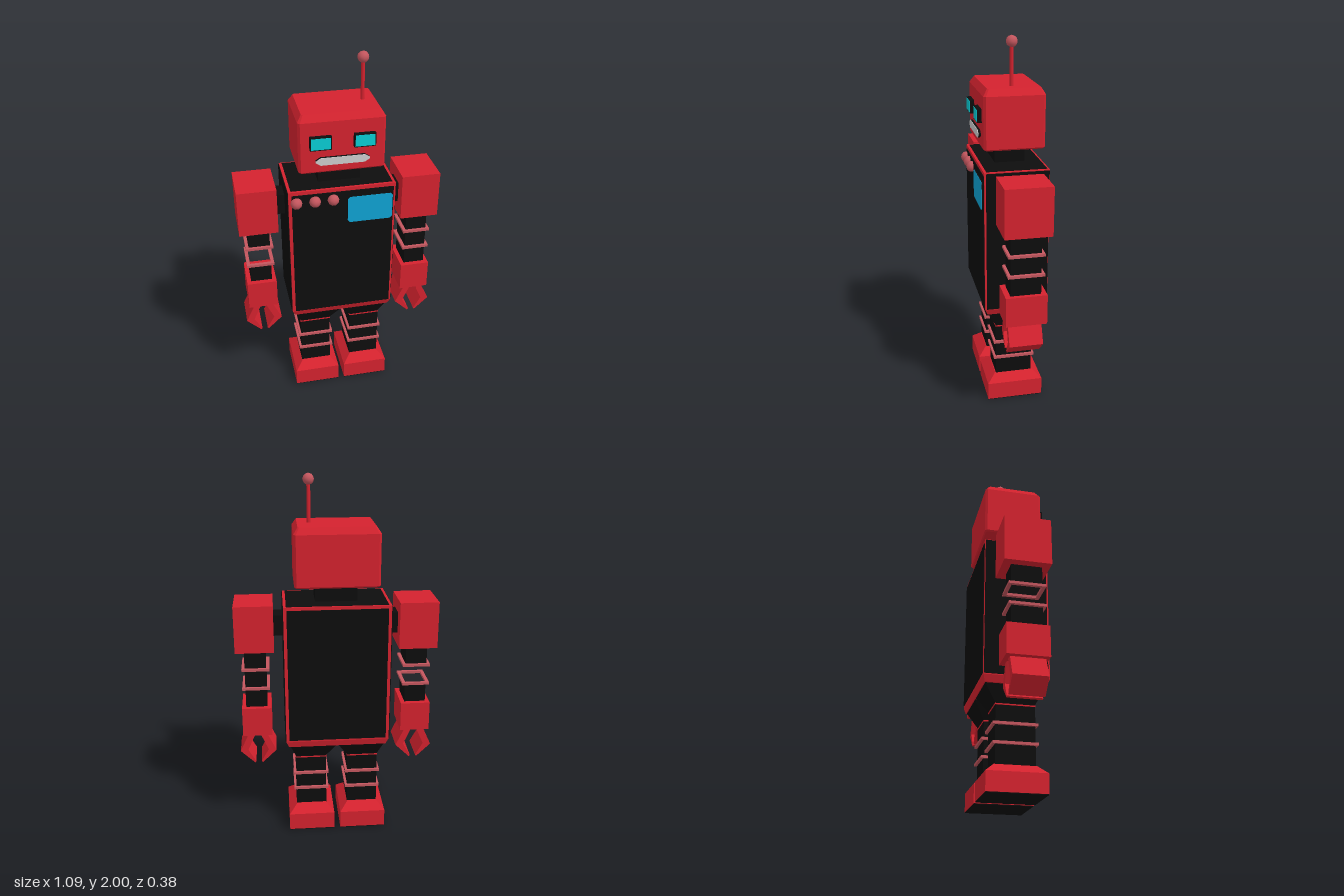
import * as THREE from 'three';

const mat = (name, color) => {
  const m = new THREE.MeshStandardMaterial({ color });
  m.name = name;
  return m;
};

// Cross-section at height y: a rectangle with corners cut by c
function section(y, x0, x1, z0, z1, c = 0) {
  const p = c
    ? [[x1 - c, z1], [x1, z1 - c], [x1, z0 + c], [x1 - c, z0], [x0 + c, z0], [x0, z0 + c], [x0, z1 - c], [x0 + c, z1]]
    : [[x1, z1], [x1, z0], [x0, z0], [x0, z1]];
  return p.map(([x, z]) => [x, y, z]);
}

// Faceted solid through sections listed from bottom to top
function loft(sections, capped = true) {
  const v = [];
  const tri = (...p) => p.forEach((q) => v.push(...q));
  const n = sections[0].length;
  for (let s = 0; s + 1 < sections.length; s++) {
    const lo = sections[s], hi = sections[s + 1];
    for (let i = 0; i < n; i++) {
      const j = (i + 1) % n;
      tri(lo[i], lo[j], hi[j]);
      tri(lo[i], hi[j], hi[i]);
    }
  }
  if (capped) {
    const lo = sections[0], hi = sections[sections.length - 1];
    for (let i = 1; i + 1 < n; i++) {
      tri(hi[0], hi[i], hi[i + 1]);
      tri(lo[0], lo[i + 1], lo[i]);
    }
  }
  const g = new THREE.BufferGeometry();
  g.setAttribute('position', new THREE.Float32BufferAttribute(v, 3));
  g.computeVertexNormals();
  return g;
}

const box = (x0, x1, y0, y1, z0, z1) =>
  new THREE.BoxGeometry(x1 - x0, y1 - y0, z1 - z0).translate((x0 + x1) / 2, (y0 + y1) / 2, (z0 + z1) / 2);

// Flat outline in the xy plane, extruded from z0 to z1
const plate = (points, z0, z1) =>
  new THREE.ExtrudeGeometry(new THREE.Shape(points.map(([x, y]) => new THREE.Vector2(x, y))),
    { depth: z1 - z0, bevelEnabled: false }).translate(0, 0, z0);

// Rectangle outline with cut corners
const cutRect = (x0, x1, y0, y1, cx, cy) => [
  [x0 + cx, y0], [x1 - cx, y0], [x1, y0 + cy], [x1, y1 - cy],
  [x1 - cx, y1], [x0 + cx, y1], [x0, y1 - cy], [x0, y0 + cy]];

// Thin rectangular band around a limb
function band(x, y, z, w, d, rim) {
  const rect = (Type, a, b) => new Type([[-a, -b], [a, -b], [a, b], [-a, b]].map((p) => new THREE.Vector2(...p)));
  const shape = rect(THREE.Shape, w / 2, d / 2);
  shape.holes.push(rect(THREE.Path, w / 2 - rim, d / 2 - rim));
  return new THREE.ExtrudeGeometry(shape, { depth: 0.014, bevelEnabled: false })
    .rotateX(-Math.PI / 2).translate(x, y - 0.007, z);
}

export function createModel() {
  const red = mat('red', 0xd4222e);
  const black = mat('black', 0x0d0d0d);
  const pink = mat('pink', 0xc4565e);
  const cyan = mat('cyan', 0x08ccd4);
  const blue = mat('blue', 0x0fa2d2);
  const grey = mat('grey', 0xcccccc);

  const root = new THREE.Group();
  root.name = 'robot';
  let parent = root;
  const add = (name, geometry, material) => {
    const m = new THREE.Mesh(geometry, material);
    m.name = name;
    parent.add(m);
    return m;
  };
  const group = (name) => {
    parent = new THREE.Group();
    parent.name = name;
    root.add(parent);
  };

  // Torso: red shell with black panels set on each face
  group('torso');
  add('shell', loft([
    section(0.54, -0.268, 0.268, -0.178, 0.138),
    section(0.575, -0.283, 0.283, -0.188, 0.152),
    section(1.345, -0.283, 0.283, -0.188, 0.152)]), red);
  add('frontPanel', box(-0.266, 0.272, 0.58, 1.326, 0.15, 0.156), black);
  add('backPanel', box(-0.266, 0.266, 0.585, 1.328, -0.192, -0.186), black);
  add('topPanel', box(-0.268, 0.268, 1.343, 1.347, -0.178, 0.138), black);
  for (const s of [-1, 1]) {
    add('sidePanel', box(s * 0.284 - 0.003, s * 0.284 + 0.003, 0.58, 1.34, -0.186, 0.143), black);
  }

  // Chest display and buttons
  const display = cutRect(0.026, 0.266, 1.14, 1.292, 0.012, 0.012);
  add('displayCase', plate(display, 0.15, 0.162), black);
  add('displayScreen', plate(display, 0.162, 0.164), blue);
  for (const x of [-0.243, -0.146, -0.05]) {
    const button = add('chestButton', new THREE.IcosahedronGeometry(0.031, 1), pink);
    button.position.set(x, 1.284, 0.16);
  }

  // Head with chamfered edges
  group('head');
  add('neck', box(-0.112, 0.112, 1.34, 1.445, -0.095, 0.065), black);
  add('skull', loft([
    section(1.438, -0.216, 0.216, -0.172, 0.134, 0.012),
    section(1.446, -0.223, 0.223, -0.178, 0.141, 0.012),
    section(1.715, -0.223, 0.223, -0.178, 0.141, 0.012),
    section(1.75, -0.2, 0.2, -0.157, 0.118, 0.008)]), red);
  for (const s of [-1, 1]) {
    const x = s * 0.112;
    add('eyeSocket', box(x - 0.055, x + 0.055, 1.574, 1.644, 0.135, 0.164), black);
    add('eye', box(x - 0.05, x + 0.05, 1.579, 1.639, 0.162, 0.166), cyan);
  }
  const mouth = cutRect(-0.138, 0.138, 1.486, 1.527, 0.025, 0.016);
  add('mouthBase', plate(mouth, 0.135, 0.153), black);
  add('mouth', plate(mouth, 0.153, 0.156), grey);

  // Antenna
  add('antennaRod', new THREE.CylinderGeometry(0.01, 0.01, 0.21, 8).translate(0.137, 1.85, -0.018), red);
  add('antennaBall', new THREE.IcosahedronGeometry(0.03, 1).translate(0.137, 1.97, -0.018), pink);

  // Arms: the right forearm is broken open between its bands
  for (const s of [-1, 1]) {
    group(s > 0 ? 'leftArm' : 'rightArm');
    const x = s * 0.439;
    add('shoulderJoint', box(s * 0.315 - 0.04, s * 0.315 + 0.04, 1.157, 1.27, -0.073, 0.033), black);
    add('shoulder', box(x - 0.104, x + 0.104, 1.085, 1.341, -0.142, 0.102), red);
    const tube = (y0, y1) => loft([y0, y1].map((y) => section(y, x - 0.058, x + 0.058, -0.098, 0.062)), false);
    if (s > 0) add('forearm', tube(0.75, 1.09), black);
    else {
      add('upperForearm', tube(0.976, 1.09), black);
      add('lowerForearm', tube(0.75, 0.867), black);
    }
    for (const y of [0.976, 0.867]) add('armBand', band(x, y, -0.018, 0.15, 0.19, 0.018), pink);
    add('hand', box(x - 0.081, x + 0.081, 0.594, 0.757, -0.127, 0.09), red);
    for (const k of [-1, 1]) {
      const claw = [[0.05, 0.596], [0.1, 0.488], [0.022, 0.413], [0.015, 0.42], [0.057, 0.494], [0.012, 0.596]];
      add('claw', plate(claw.map(([px, py]) => [x + k * px, py]), -0.103, 0.074), red);
    }
  }

  // Legs: tapered hip, banded leg and bevelled foot
  for (const s of [-1, 1]) {
    group(s > 0 ? 'leftLeg' : 'rightLeg');
    const sec = (y, a, b, z0, z1) => section(y, Math.min(s * a, s * b), Math.max(s * a, s * b), z0, z1);
    add('hip', loft([sec(0.45, 0.06, 0.23, -0.116, 0.086), sec(0.542, 0.004, 0.26, -0.175, 0.135)]), black);
    add('hipSeam', loft([sec(0.44, 0.058, 0.232, -0.118, 0.088), sec(0.447, 0.058, 0.232, -0.118, 0.088)]), red);
    add('leg', loft([sec(0.14, 0.06, 0.23, -0.116, 0.086), sec(0.452, 0.06, 0.23, -0.116, 0.086)]), black);
    for (const y of [0.346, 0.249]) add('legBand', band(s * 0.145, y, -0.016, 0.196, 0.228, 0.016), pink);
    add('foot', loft([
      sec(0.004, 0.017, 0.274, -0.17, 0.138),
      sec(0.102, 0.017, 0.274, -0.17, 0.138),
      sec(0.146, 0.062, 0.228, -0.12, 0.09)]), red);
    add('sole', loft([sec(0, 0.019, 0.272, -0.168, 0.136), sec(0.005, 0.019, 0.272, -0.168, 0.136)]), black);
  }

  return root;
}
